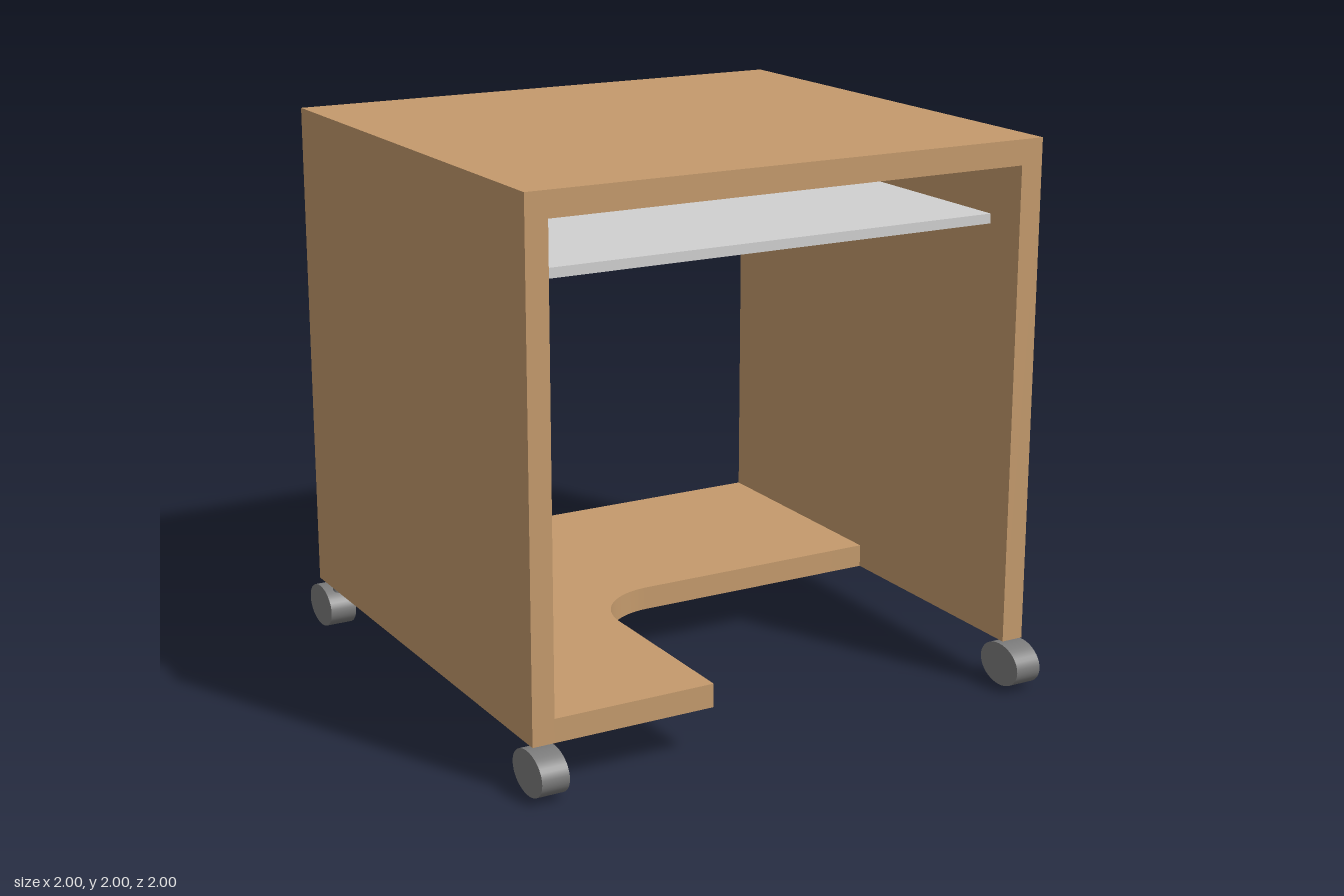
import * as THREE from 'three';
import { toCreasedNormals } from 'three/addons/utils/BufferGeometryUtils.js';

function material(name, color) {
  const m = new THREE.MeshStandardMaterial({ color });
  m.name = name;
  return m;
}

export function createModel() {
  const model = new THREE.Group();
  model.name = 'rollingDesk';
  const wood = material('wood', 0xc49a6c);
  const lightGrey = material('lightGrey', 0xd0d0d0);
  const darkGrey = material('darkGrey', 0x7b7b7b);

  // Box given by its lower and upper corners
  function box(name, mat, [x0, y0, z0], [x1, y1, z1]) {
    const mesh = new THREE.Mesh(new THREE.BoxGeometry(x1 - x0, y1 - y0, z1 - z0), mat);
    mesh.position.set((x0 + x1) / 2, (y0 + y1) / 2, (z0 + z1) / 2);
    mesh.name = name;
    model.add(mesh);
  }

  const left = 0.988, right = -0.985, inner = 0.904, front = 0.903, back = -0.93;
  const floorY = 0.175, topY = 1.91;

  // Top and side panels
  box('top', wood, [right, topY, back], [left, 2, front]);
  box('leftSide', wood, [inner, floorY, back], [left, topY, front]);
  box('rightSide', wood, [right, floorY, back], [-inner, topY, front]);

  // Sliding tray under the top
  box('tray', lightGrey, [-0.895, 1.682, -0.78], [0.895, 1.717, 0.75]);

  // L-shaped bottom shelf with a rounded inside corner, drawn in x and z
  const armX = -0.305, edgeZ = -0.015, r = 0.255;
  const outline = new THREE.Shape();
  outline.moveTo(-inner, back);
  outline.lineTo(inner, back);
  outline.lineTo(inner, edgeZ);
  outline.lineTo(armX + r, edgeZ);
  outline.absarc(armX + r, edgeZ + r, r, -Math.PI / 2, -Math.PI, true);
  outline.lineTo(armX, front);
  outline.lineTo(-inner, front);
  outline.closePath();
  const shelfGeometry = new THREE.ExtrudeGeometry(outline, {
    depth: 0.26 - floorY, bevelEnabled: false, curveSegments: 20,
  });
  shelfGeometry.rotateX(Math.PI / 2);
  const shelf = new THREE.Mesh(toCreasedNormals(shelfGeometry, 0.5), wood);
  shelf.position.y = 0.26;
  shelf.name = 'bottomShelf';
  model.add(shelf);

  // Four casters: oval wheel and a short stem
  const wheelGeometry = new THREE.CylinderGeometry(1, 1, 0.1, 40);
  wheelGeometry.rotateZ(Math.PI / 2);
  wheelGeometry.scale(1, 0.078, 0.108);
  const stemGeometry = new THREE.CylinderGeometry(0.017, 0.017, 0.08, 16);
  for (const sx of [-1, 1]) {
    for (const sz of [-1, 1]) {
      const caster = new THREE.Group();
      caster.name = (sz > 0 ? 'front' : 'back') + (sx > 0 ? 'Left' : 'Right') + 'Caster';
      const wheel = new THREE.Mesh(wheelGeometry, darkGrey);
      wheel.name = 'wheel';
      wheel.position.set(sx * 0.95, sx < 0 && sz < 0 ? 0.078 : 0.086, sz * 0.892);
      const stem = new THREE.Mesh(stemGeometry, darkGrey);
      stem.name = 'stem';
      stem.position.set(sx * 0.95, 0.138, sz * 0.843);
      caster.add(wheel, stem);
      model.add(caster);
    }
  }
  return model;
}
